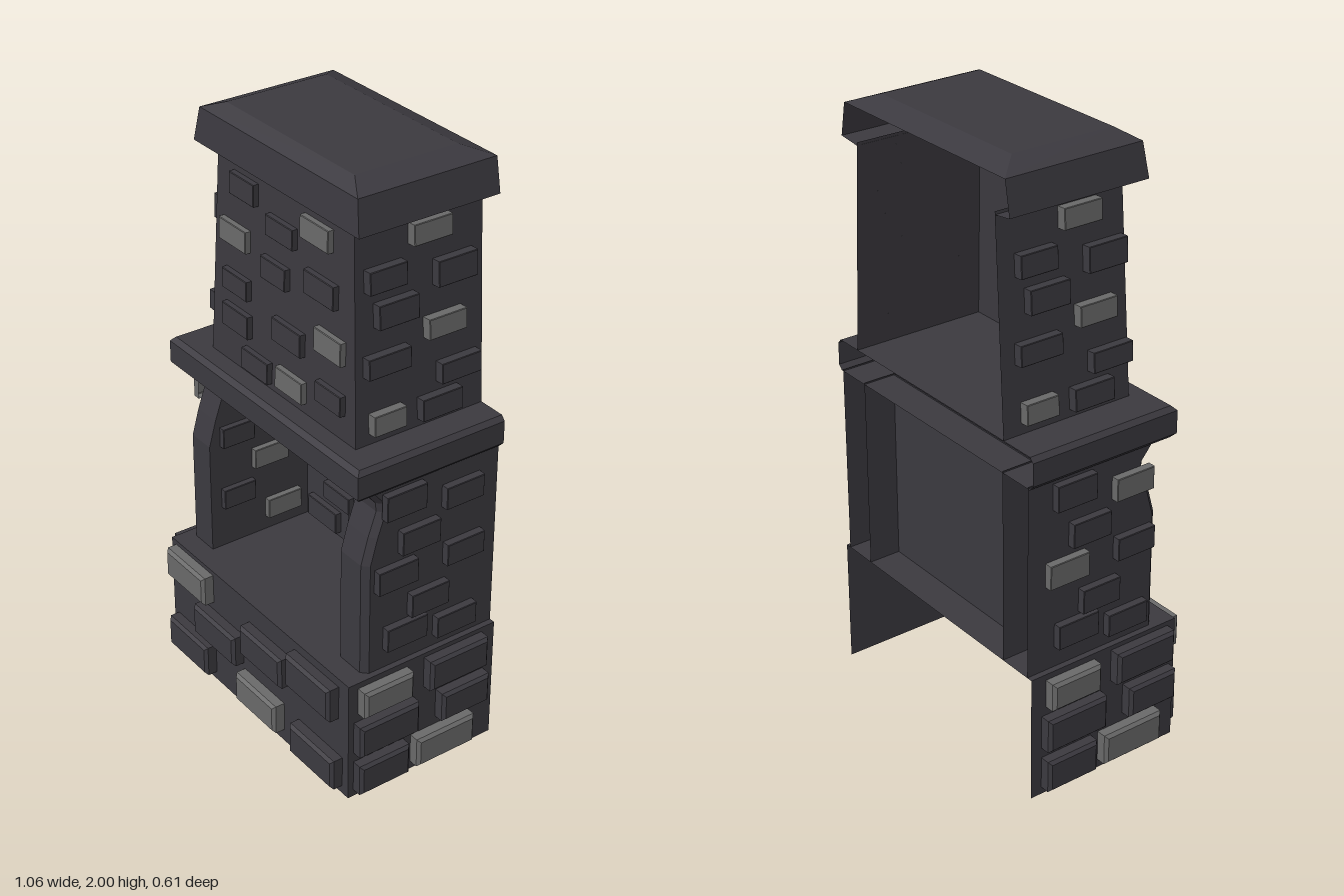
import * as THREE from 'three';

const stone = new THREE.MeshStandardMaterial({ color: 0x3b393f, side: THREE.DoubleSide });
stone.name = 'dark stone';
const pale = new THREE.MeshStandardMaterial({ color: 0x696969, side: THREE.DoubleSide });
pale.name = 'pale brick';

// Flat-faced skin between rows of points
function skin(rows, closed = false) {
  const pos = [];
  for (let i = 0; i < rows.length - 1; i++) {
    const p = rows[i], q = rows[i + 1], n = p.length;
    for (let j = 0; j < (closed ? n : n - 1); j++) {
      const k = (j + 1) % n;
      pos.push(...p[j], ...p[k], ...q[k], ...p[j], ...q[k], ...q[j]);
    }
  }
  const g = new THREE.BufferGeometry();
  g.setAttribute('position', new THREE.Float32BufferAttribute(pos, 3));
  g.computeVertexNormals();
  return g;
}

// Level section: height, half width, front z, back z
const ring = ([y, hx, zf, zb = -0.3]) => [[-hx, y, zb], [-hx, y, zf], [hx, y, zf], [hx, y, zb]];
const shell = (sections, closed) => skin(sections.map(ring), closed);

// Bevelled brick facing +z
function brickGeometry(u0, u1, v0, v1, depth, bevel) {
  const rect = (s, d) => [[u0 + s, v0 + s, d], [u1 - s, v0 + s, d], [u1 - s, v1 - s, d], [u0 + s, v1 - s, d]];
  const c = [(u0 + u1) / 2, (v0 + v1) / 2, depth];
  return skin([rect(0, 0), rect(0, depth - bevel), rect(bevel, depth), [c, c, c, c]], true);
}

// Brick rows: u0, u1, y0, y1, 1 if pale
const baseFront = [
  [-0.47, -0.25, 0.31, 0.415, 1], [-0.045, 0.18, 0.245, 0.355], [0.205, 0.435, 0.28, 0.4],
  [-0.315, -0.08, 0.17, 0.28], [-0.47, -0.245, 0.03, 0.14], [-0.075, 0.145, 0.045, 0.15, 1], [0.225, 0.455, 0.03, 0.14],
];
const baseSide = [
  [-0.225, -0.04, 0.315, 0.41, 1], [0.025, 0.25, 0.305, 0.415], [-0.24, -0.015, 0.17, 0.285],
  [0.075, 0.26, 0.165, 0.27], [-0.24, -0.05, 0.025, 0.135], [-0.02, 0.205, 0.03, 0.135, 1],
];
const wallSide = [
  [-0.13, 0.015, 0.97, 1.055], [0.09, 0.23, 0.93, 1.005], [-0.07, 0.07, 0.83, 0.91], [-0.155, -0.01, 0.72, 0.8],
  [0.1, 0.24, 0.725, 0.8], [-0.03, 0.11, 0.59, 0.67], [-0.12, 0.03, 0.5, 0.58], [0.07, 0.22, 0.47, 0.545],
];
const wallSidePale = wallSide.map((b, i) => [...b, i === 1 || i === 3]);
const chimneySide = [
  [0.035, 0.17, 1.76, 1.825, 1], [-0.12, 0.01, 1.655, 1.725], [0.12, 0.26, 1.61, 1.69], [-0.09, 0.05, 1.54, 1.615],
  [0.085, 0.22, 1.455, 1.52, 1], [-0.13, 0.02, 1.395, 1.46], [0.13, 0.275, 1.3, 1.365],
  [-0.115, 0, 1.21, 1.275, 1], [0.06, 0.205, 1.2, 1.27],
];
const chimneyFront = [
  [-0.24, -0.115, 1.745, 1.815], [0.115, 0.25, 1.745, 1.815, 1], [-0.055, 0.08, 1.685, 1.75],
  [-0.295, -0.155, 1.58, 1.65, 1], [0.135, 0.28, 1.58, 1.655], [-0.08, 0.045, 1.54, 1.61],
  [-0.28, -0.15, 1.425, 1.49], [0.19, 0.32, 1.42, 1.495, 1], [-0.02, 0.125, 1.36, 1.435],
  [-0.28, -0.145, 1.3, 1.375], [0.2, 0.325, 1.26, 1.325], [0, 0.135, 1.21, 1.28, 1], [-0.175, -0.04, 1.195, 1.265],
];
const hearthBack = [
  [-0.3, -0.15, 0.915, 0.99, 1], [-0.125, 0.035, 0.95, 1.03], [0.11, 0.245, 0.99, 1.045, 1],
  [0.18, 0.315, 0.895, 0.95, 1], [-0.03, 0.115, 0.84, 0.91], [-0.33, -0.2, 0.83, 0.905],
  [-0.17, -0.035, 0.755, 0.805, 1], [0.1, 0.25, 0.725, 0.805, 1], [-0.31, -0.16, 0.65, 0.725, 1],
  [-0.075, 0.07, 0.625, 0.7], [-0.24, -0.1, 0.56, 0.62], [0.17, 0.315, 0.64, 0.695],
  [0.155, 0.295, 0.5, 0.58], [-0.045, 0.105, 0.46, 0.535, 1], [-0.325, -0.17, 0.45, 0.525],
];
const hearthSide = [
  [-0.1, 0.04, 0.96, 1.03, 1], [0.02, 0.15, 0.85, 0.92], [-0.15, -0.03, 0.81, 0.88],
  [-0.03, 0.1, 0.69, 0.76, 1], [-0.15, -0.03, 0.58, 0.65], [0.02, 0.15, 0.48, 0.55, 1],
];

export function createModel() {
  const model = new THREE.Group();
  model.name = 'stone fireplace';

  const add = (name, geometry, x = 0) => {
    const m = new THREE.Mesh(geometry, stone);
    m.name = name;
    m.position.x = x;
    model.add(m);
  };

  // One panel of bricks turned to its wall; lean tips it back
  const addBricks = (name, list, [x, y, z], turn, depth, bevel, lean = 0) => {
    const g = new THREE.Group();
    g.name = name;
    g.position.set(x, y, z);
    g.rotation.set(-lean, turn, 0, 'YXZ');
    for (const [u0, u1, v0, v1, light] of list) {
      const m = new THREE.Mesh(brickGeometry(u0, u1, v0 - y, v1 - y, depth, bevel), light ? pale : stone);
      m.name = 'brick';
      g.add(m);
    }
    model.add(g);
  };

  // Hollow base, open behind and below
  add('base', shell([[0, 0.49, 0.26], [0.43, 0.49, 0.26], [0.43, 0, -0.3]]));

  // Hollow pillars with curved front, running back as hearth walls
  const profile = [[0.43, 0.19], [0.82, 0.19], [0.91, 0.165], [0.99, 0.137], [1.02, 0.14], [1.05, 0.165], [1.075, 0.185]];
  for (const s of [1, -1]) {
    const rows = profile.map(([y, z]) => {
      const r = [[0.352, -0.3], [0.352, z], [0.45, z], [0.47, z - 0.02], [0.47, -0.3]].map(([px, pz]) => [s * px, y, pz]);
      return s > 0 ? r : r.reverse();
    });
    add(s > 0 ? 'leftPillar' : 'rightPillar', skin(rows));
  }
  add('hearthBackWall', skin([
    [[-0.352, 0.43, -0.19], [0.352, 0.43, -0.19]],
    [[-0.352, 1.075, -0.19], [0.352, 1.075, -0.19]],
  ]));

  // Mantel slab
  add('mantel', shell([[1.07, 0, -0.3], [1.07, 0.478, 0.22], [1.085, 0.492, 0.235],
    [1.16, 0.492, 0.235], [1.175, 0.478, 0.22], [1.175, 0, -0.3]]));

  // Tapered chimney and its hollow cap
  const cx = 0.014;
  add('chimney', shell([[1.175, 0.37, 0.163], [1.86, 0.333, 0.147]]), cx);
  add('capSides', shell([[1.85, 0.333, 0.147], [1.862, 0.405, 0.185, -0.305], [1.97, 0.385, 0.175, -0.305]]), cx);
  add('capTop', shell([[1.97, 0.385, 0.175, -0.305], [2, 0.31, 0.13, -0.225], [2, 0, -0.05, -0.05]], true), cx);

  // Brickwork
  const q = Math.PI / 2;
  addBricks('baseFrontBricks', baseFront, [0.005, 0, 0.26], 0, 0.042, 0.01);
  addBricks('chimneyFrontBricks', chimneyFront, [0.005, 1.175, 0.163], 0, 0.02, 0.002, 0.023);
  addBricks('hearthBackBricks', hearthBack, [0.005, 0, -0.19], 0, 0.022, 0.002);
  for (const s of [1, -1]) {
    const side = s > 0 ? 'left' : 'right';
    const shift = (d) => (s > 0 ? 0 : d);
    addBricks(side + 'BaseBricks', baseSide, [s * 0.49, 0, shift(-0.02)], s * q, 0.042, 0.01);
    addBricks(side + 'WallBricks', s > 0 ? wallSide : wallSidePale, [s * 0.47, 0, shift(-0.08)], s * q, 0.027, 0.002);
    addBricks(side + 'ChimneyBricks', chimneySide, [cx + s * 0.37, 1.175, shift(-0.12)], s * q, 0.032, 0.002, 0.054);
    addBricks(side + 'HearthBricks', hearthSide, [s * 0.352, 0, 0], -s * q, 0.022, 0.002);
  }
  return model;
}
